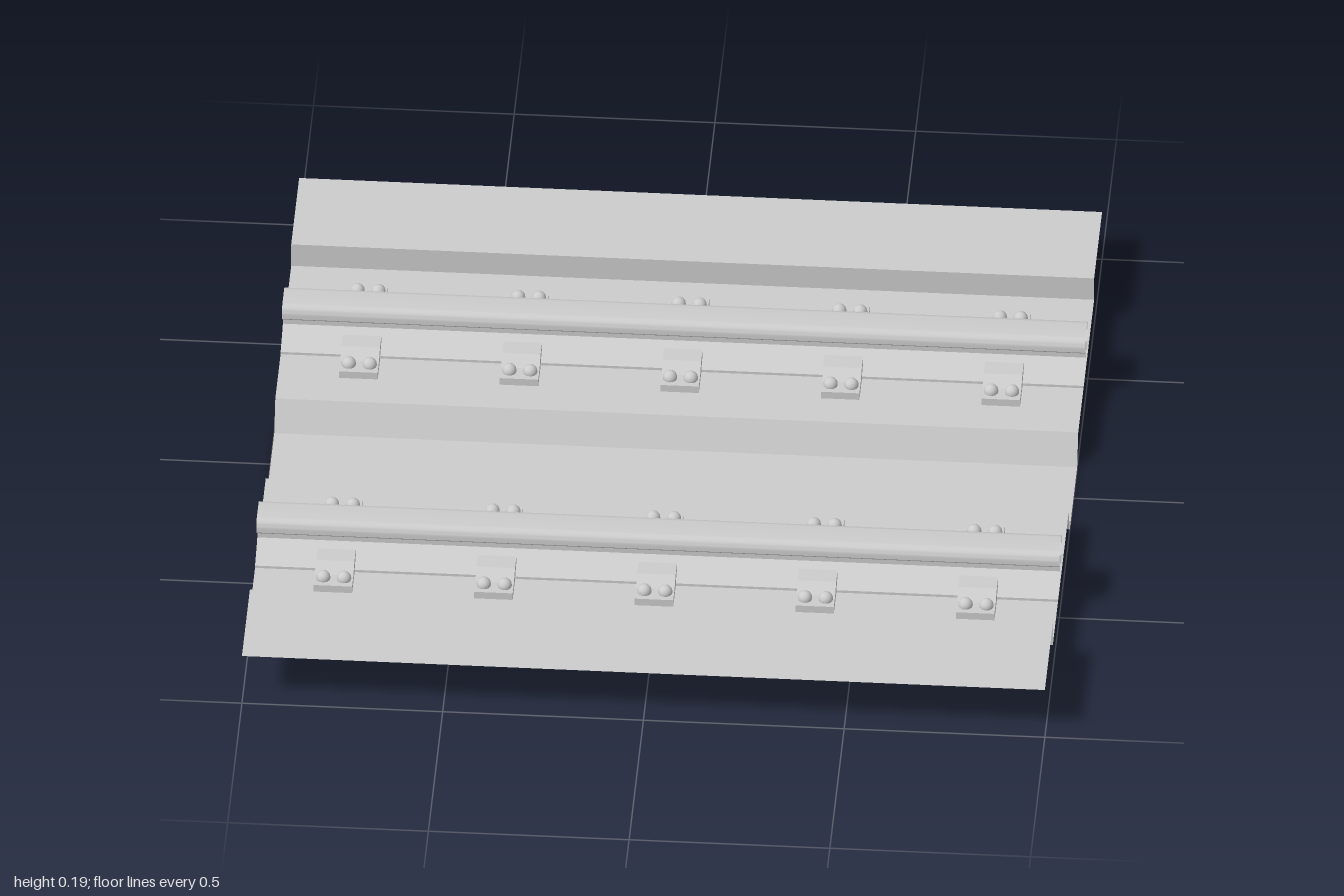
import * as THREE from 'three';
import { toCreasedNormals } from 'three/addons/utils/BufferGeometryUtils.js';

const material = new THREE.MeshStandardMaterial({ color: 0xcccccc });
const sheetMaterial = new THREE.MeshStandardMaterial({ color: 0xcccccc, side: THREE.DoubleSide });

const LENGTH = 2;
const RAIL_Z = 0.447;
const BED_Y = 0.08;

// Open strip: a [z, y] profile swept along the whole length in x
function sweep(profile) {
  const positions = [];
  const x0 = -LENGTH / 2, x1 = LENGTH / 2;
  for (let i = 0; i < profile.length - 1; i++) {
    const [za, ya] = profile[i], [zb, yb] = profile[i + 1];
    positions.push(x0, ya, za, x0, yb, zb, x1, yb, zb);
    positions.push(x0, ya, za, x1, yb, zb, x1, ya, za);
  }
  const geometry = new THREE.BufferGeometry();
  geometry.setAttribute('position', new THREE.Float32BufferAttribute(positions, 3));
  return toCreasedNormals(geometry, 0.6);
}

// Half profile (from the outside in) completed by its mirror image
function mirrored(half) {
  return [...half.map(([z, y]) => [-z, y]), ...half.slice().reverse()];
}

function named(name, geometry, mat = material) {
  const mesh = new THREE.Mesh(geometry, mat);
  mesh.name = name;
  return mesh;
}

// Rail section: sloped foot, thin web and rounded head
function railGeometry() {
  const half = [
    [0.095, BED_Y], [0.095, 0.087], [0.03, 0.108], [0.016, 0.116],
    [0.016, 0.142], [0.047, 0.152], [0.05, 0.156],
  ];
  const radius = 0.022;
  for (let i = 0; i <= 6; i++) {
    const a = (i / 6) * Math.PI / 2;
    half.push([0.05 - radius + radius * Math.cos(a), 0.168 + radius * Math.sin(a)]);
  }
  return sweep(mirrored(half));
}

// Stepped clip plate, pointing away from the rail along +z
function clipGeometry() {
  const width = 0.096;
  const shape = new THREE.Shape([
    [0.052, BED_Y], [0.183, BED_Y], [0.183, 0.1],
    [0.138, 0.1], [0.1, 0.117], [0.052, 0.117],
  ].map(([u, y]) => new THREE.Vector2(u, y)));
  const geometry = new THREE.ExtrudeGeometry(shape, { depth: width, bevelEnabled: false });
  geometry.translate(0, 0, -width / 2);
  return geometry.rotateY(-Math.PI / 2);
}

export function createModel() {
  const model = new THREE.Group();
  model.name = 'railTrack';

  // Folded bed with a central trough and raised outer shoulders
  const bedHalf = [[1, 0.146], [0.722, 0.146], [0.722, BED_Y], [0.167, BED_Y], [0.13, 0]];
  model.add(named('trackBed', sweep(mirrored(bedHalf)), sheetMaterial));

  const rail = railGeometry();
  const clip = clipGeometry();
  const bolt = new THREE.SphereGeometry(0.018, 16, 12);

  for (const side of [-1, 1]) {
    const railGroup = new THREE.Group();
    railGroup.name = side > 0 ? 'frontRailAssembly' : 'backRailAssembly';
    railGroup.position.z = side * RAIL_Z;
    railGroup.add(named('rail', rail, sheetMaterial));

    // Five pairs of bolted clips hold each rail
    for (let i = -2; i <= 2; i++) {
      for (const turn of [0, Math.PI]) {
        const fastener = new THREE.Group();
        fastener.name = 'railFastener';
        fastener.position.x = i * 0.4;
        fastener.rotation.y = turn;
        fastener.add(named('clip', clip));
        for (const x of [-0.026, 0.026]) {
          const head = named('bolt', bolt);
          head.position.set(x, 0.104, 0.153);
          fastener.add(head);
        }
        railGroup.add(fastener);
      }
    }
    model.add(railGroup);
  }
  return model;
}
